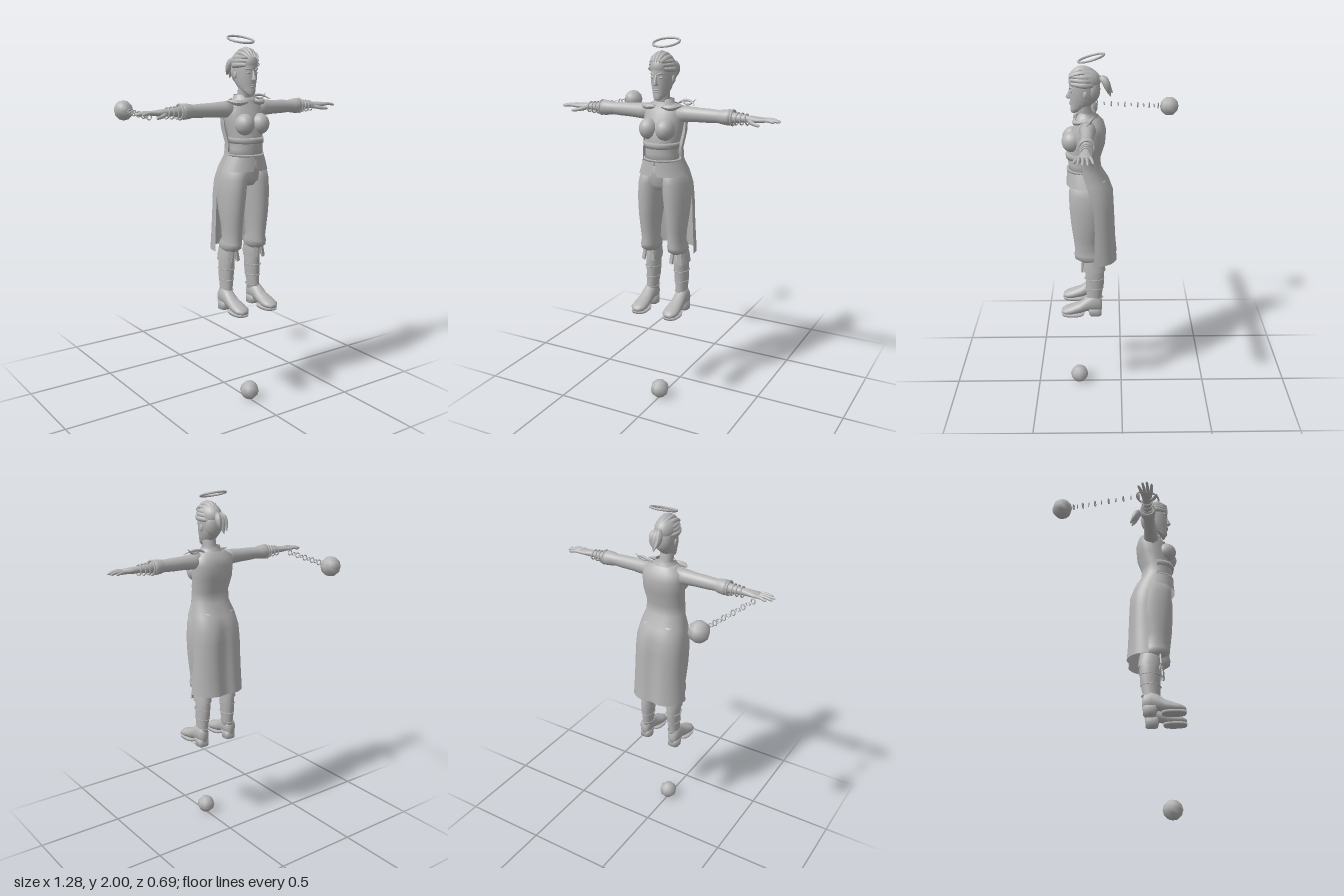
import * as THREE from 'three';

const grey = new THREE.MeshStandardMaterial({ color: 0xb4b4b4, side: THREE.DoubleSide });
grey.name = 'grey';

function add(parent, name, geo, x = 0, y = 0, z = 0) {
  const m = new THREE.Mesh(geo, grey);
  m.name = name;
  m.position.set(x, y, z);
  parent.add(m);
  return m;
}

// Skin through rings; each section is [y, half width, front z, back z, centre x]
// gap(i) leaves an opening, centred on the front, of that half angle
function loft(sections, { n = 24, gap = null, power = 1, caps = true, warp = null } = {}) {
  const pos = [], idx = [], cols = gap ? n + 1 : n;
  sections.forEach(([y, rx, zf, zb, cx = 0], i) => {
    const g = gap ? gap(i) : 0;
    for (let j = 0; j < cols; j++) {
      const t = g + (j / n) * (Math.PI * 2 - 2 * g);
      const s = Math.sin(t), c = Math.cos(t);
      const v = new THREE.Vector3(
        cx + rx * Math.sign(s) * Math.abs(s) ** power, y,
        (zf + zb) / 2 + ((zf - zb) / 2) * Math.sign(c) * Math.abs(c) ** power);
      if (warp) warp(v);
      pos.push(v.x, v.y, v.z);
    }
  });
  for (let i = 0; i < sections.length - 1; i++) for (let j = 0; j < n; j++) {
    const a = i * cols + j, b = i * cols + (j + 1) % cols;
    idx.push(a, b, a + cols, b, b + cols, a + cols);
  }
  if (!gap && caps) [0, sections.length - 1].forEach((row, k) => {
    const [y, , zf, zb, cx = 0] = sections[row], mid = pos.length / 3;
    pos.push(cx, y, (zf + zb) / 2);
    for (let j = 0; j < n; j++) {
      const a = row * n + j, b = row * n + (j + 1) % n;
      idx.push(mid, ...(k ? [a, b] : [b, a]));
    }
  });
  const geo = new THREE.BufferGeometry();
  geo.setAttribute('position', new THREE.Float32BufferAttribute(pos, 3));
  geo.setIndex(idx);
  geo.computeVertexNormals();
  return geo;
}

// Tube along a curve whose radius follows a rule
function taper(points, radius, seg = 10, sides = 8) {
  const curve = new THREE.CatmullRomCurve3(points.map(p => new THREE.Vector3(...p)));
  const geo = new THREE.TubeGeometry(curve, seg, 1, sides), p = geo.attributes.position, v = new THREE.Vector3();
  for (let i = 0; i < p.count; i++) {
    const t = Math.floor(i / (sides + 1)) / seg, c = curve.getPointAt(t);
    v.fromBufferAttribute(p, i).sub(c).multiplyScalar(radius(t)).add(c);
    p.setXYZ(i, v.x, v.y, v.z);
  }
  geo.computeVertexNormals();
  return geo;
}
const ball = (rx, ry, rz, n = 16) => new THREE.SphereGeometry(1, n, n * 0.75).scale(rx, ry, rz);
const finger = r => t => r * (t > 0.95 ? 0.25 : 1 - 0.35 * t);
const leaf = r => t => r * Math.sin(Math.PI * (0.15 + 0.84 * t)) + 0.001;

function makeArm() {
  const arm = new THREE.Group();
  const along = s => loft(s).rotateZ(-Math.PI / 2).translate(0, 1.625, 0);
  add(arm, 'sleeve', along([[0.08, 0.045, 0.22, 0.125], [0.13, 0.042, 0.214, 0.135], [0.2, 0.037, 0.208, 0.14],
    [0.26, 0.036, 0.207, 0.14], [0.31, 0.033, 0.205, 0.143], [0.335, 0.038, 0.212, 0.135],
    [0.365, 0.041, 0.214, 0.13], [0.385, 0.036, 0.21, 0.134]]));
  add(arm, 'cuffEdge', new THREE.TorusGeometry(0.037, 0.006, 6, 24).rotateY(Math.PI / 2), 0.386, 1.625, 0.172);
  add(arm, 'forearm', along([[0.37, 0.028, 0.2, 0.145], [0.42, 0.023, 0.196, 0.15], [0.46, 0.018, 0.194, 0.154],
    [0.49, 0.018, 0.202, 0.15], [0.53, 0.014, 0.208, 0.144], [0.555, 0.011, 0.206, 0.146]]));
  [0.41, 0.435, 0.462].forEach((x, i) => {
    const b = add(arm, 'bracelet', new THREE.TorusGeometry(0.031 - i * 0.002, 0.004, 6, 20).rotateY(Math.PI / 2), x, 1.622, 0.174);
    b.rotation.z = 0.15 * (i - 1);
  });
  [[0.152, 0.61, 0.136], [0.168, 0.634, 0.16], [0.184, 0.638, 0.184], [0.2, 0.618, 0.208]].forEach(([z0, x, z1]) =>
    add(arm, 'finger', taper([[0.535, 1.625, z0], [(x + 0.535) / 2, 1.628, (z0 + z1) / 2], [x, 1.621, z1]], finger(0.0095))));
  add(arm, 'thumb', taper([[0.48, 1.618, 0.19], [0.51, 1.61, 0.215], [0.55, 1.604, 0.23]], finger(0.012)));
  return arm;
}

function makeLeg() {
  const leg = new THREE.Group();
  add(leg, 'trouserLeg', loft([[0.865, 0.036, 0.225, 0.11, 0.082], [0.885, 0.05, 0.258, 0.1, 0.082],
    [0.91, 0.051, 0.262, 0.105, 0.081], [0.935, 0.046, 0.257, 0.125, 0.079], [1, 0.051, 0.264, 0.122, 0.08],
    [1.08, 0.059, 0.274, 0.1, 0.08], [1.18, 0.068, 0.282, 0.075, 0.076], [1.26, 0.068, 0.284, 0.065, 0.07],
    [1.34, 0.06, 0.275, 0.085, 0.058]]));
  add(leg, 'boot', loft([[0.6, 0.031, 0.202, 0.113, 0.094], [0.65, 0.031, 0.198, 0.113, 0.091],
    [0.72, 0.037, 0.2, 0.1, 0.088], [0.79, 0.039, 0.204, 0.097, 0.086], [0.88, 0.036, 0.205, 0.105, 0.084]]));
  add(leg, 'bootCuff', loft([[0.808, 0.046, 0.216, 0.09, 0.087], [0.84, 0.046, 0.217, 0.092, 0.085],
    [0.88, 0.041, 0.214, 0.1, 0.083]], { gap: i => 0.45 - i * 0.2 }));
  [-1, 1].forEach(s => {
    const tab = add(leg, 'cuffTab', new THREE.BoxGeometry(0.022, 0.07, 0.008), 0.085 + s * 0.023, 0.845, 0.218);
    tab.rotation.set(-0.12, s * 0.35, s * 0.15);
  });
  // Foot sections run from heel to toe
  add(leg, 'foot', loft([[0.112, 0.018, -0.56, -0.62], [0.125, 0.032, -0.55, -0.65], [0.16, 0.036, -0.553, -0.665],
    [0.2, 0.036, -0.553, -0.64], [0.235, 0.038, -0.543, -0.613], [0.285, 0.044, -0.537, -0.593],
    [0.32, 0.04, -0.537, -0.58], [0.342, 0.02, -0.542, -0.566]]).rotateX(Math.PI / 2), 0.097);
  add(leg, 'heel', loft([[0.53, 0.034, 0.183, 0.115, 0.097], [0.575, 0.036, 0.195, 0.113, 0.097]], { power: 0.7 }));
  add(leg, 'sole', loft([[0.531, 0.043, 0.342, 0.215, 0.097], [0.545, 0.045, 0.346, 0.21, 0.097]], { power: 0.8 }));
  [0.64, 0.7, 0.76].forEach(y => {
    const strap = add(leg, 'bootStrap', new THREE.TorusGeometry(0.037, 0.003, 5, 20).rotateX(Math.PI / 2), 0.089, y, 0.153);
    strap.scale.set(0.86 + (y - 0.64) * 1.7, 1, 1.24 + (y - 0.64) * 1.5);
  });
  return leg;
}

function makeHead() {
  const head = new THREE.Group();
  add(head, 'neck', taper([[0, 1.63, 0.175], [0, 1.69, 0.19], [0, 1.75, 0.2]], () => 0.038, 8, 18));
  add(head, 'face', loft([[1.697, 0.014, 0.262, 0.235], [1.707, 0.025, 0.267, 0.215], [1.725, 0.037, 0.266, 0.17],
    [1.75, 0.046, 0.265, 0.14], [1.78, 0.053, 0.269, 0.125], [1.815, 0.056, 0.267, 0.118],
    [1.85, 0.057, 0.27, 0.115], [1.885, 0.05, 0.262, 0.12], [1.915, 0.03, 0.235, 0.14]]));
  add(head, 'nose', loft([[1.772, 0.011, 0.283, 0.25], [1.78, 0.012, 0.29, 0.25], [1.8, 0.007, 0.279, 0.25],
    [1.825, 0.006, 0.27, 0.25]], { n: 10 }));
  add(head, 'upperLip', ball(0.017, 0.004, 0.007, 10), 0, 1.75, 0.266);
  add(head, 'lowerLip', ball(0.014, 0.005, 0.007, 10), 0, 1.742, 0.265);
  [-1, 1].forEach(s => {
    add(head, 'eye', ball(0.012, 0.006, 0.006, 10), s * 0.023, 1.812, 0.259);
    add(head, 'brow', taper([[s * 0.009, 1.825, 0.268], [s * 0.026, 1.833, 0.262], [s * 0.042, 1.827, 0.244]], leaf(0.004)));
    add(head, 'ear', ball(0.007, 0.02, 0.013, 10), s * 0.058, 1.8, 0.185);
    // Hair swept back over the sides
    [1.845, 1.865, 1.882].forEach((y, i) => add(head, 'sideLock',
      taper([[s * (0.04 - i * 0.005), y + 0.008, 0.257], [s * (0.06 - i * 0.007), y + 0.005, 0.19], [s * 0.014, y - 0.005, 0.11]], leaf(0.014))));
  });
  add(head, 'hairCap', new THREE.SphereGeometry(1, 24, 12, 0, Math.PI * 2, 0, Math.PI * 0.56)
    .scale(0.06, 0.07, 0.084), 0, 1.862, 0.189);
  add(head, 'hairBack', ball(0.052, 0.07, 0.04), 0, 1.82, 0.148);
  for (let i = -2; i <= 2; i++) add(head, 'topLock',
    taper([[i * 0.014, 1.888, 0.268], [i * 0.018, 1.928 - i * i * 0.005, 0.215], [i * 0.013, 1.915 - i * i * 0.004, 0.15], [0, 1.875, 0.11]], leaf(0.013)));
  add(head, 'hairTie', new THREE.TorusGeometry(0.013, 0.006, 6, 14), 0, 1.872, 0.11);
  [-1, 0, 1].forEach(s => add(head, 'ponytail',
    taper([[0, 1.872, 0.115], [s * 0.013, 1.87, 0.09], [s * 0.018, 1.83, 0.07], [s * 0.01, 1.78 + Math.abs(s) * 0.015, 0.055 + s * 0.012]], leaf(0.019))));
  return head;
}

export function createModel() {
  const model = new THREE.Group();
  model.name = 'figure';
  const head = makeHead();
  head.name = 'head';
  model.add(head);

  [1, -1].forEach(s => {
    const side = s > 0 ? 'left' : 'right';
    [['Arm', makeArm()], ['Leg', makeLeg()]].forEach(([n, g]) => {
      g.name = side + n;
      g.scale.x = s;
      model.add(g);
    });
    add(model, side + 'Bust', ball(0.05, 0.056, 0.056), s * 0.048, 1.55, 0.26);
    add(model, side + 'Lapel', taper([[s * 0.02, 1.665, 0.245], [s * 0.07, 1.66, 0.24], [s * 0.122, 1.672, 0.2]], leaf(0.014)));
  });

  // Body and clothes
  add(model, 'torso', loft([[1.36, 0.098, 0.285, 0.12], [1.42, 0.089, 0.286, 0.128], [1.46, 0.09, 0.289, 0.12],
    [1.53, 0.103, 0.284, 0.1], [1.6, 0.112, 0.264, 0.09], [1.645, 0.11, 0.242, 0.102], [1.668, 0.082, 0.232, 0.12],
    [1.685, 0.045, 0.228, 0.15]]));
  add(model, 'corsetBand', loft([[1.45, 0.093, 0.297, 0.12], [1.468, 0.094, 0.3, 0.115], [1.48, 0.095, 0.297, 0.112]]));
  add(model, 'pelvis', loft([[1.225, 0.06, 0.25, 0.09], [1.255, 0.11, 0.275, 0.07], [1.31, 0.12, 0.28, 0.07], [1.38, 0.098, 0.285, 0.11]]));
  add(model, 'peplum', loft([[1.305, 0.137, 0.3, 0.065], [1.345, 0.121, 0.296, 0.085], [1.385, 0.102, 0.293, 0.11]],
    { gap: i => [0.13, 0.04, 0.005][i], n: 36 }));
  add(model, 'belt', loft([[1.382, 0.103, 0.295, 0.11], [1.392, 0.102, 0.296, 0.112]]));
  add(model, 'collar', loft([[1.662, 0.075, 0.25, 0.118], [1.685, 0.056, 0.236, 0.13], [1.7, 0.054, 0.22, 0.135]], { gap: () => 0.5 }));
  // Open long coat with a crease down the back
  const coat = [[0.865, 0.162, 0.29, 0.018], [0.96, 0.156, 0.27, 0.026], [1.07, 0.15, 0.26, 0.03], [1.17, 0.149, 0.265, 0.034],
    [1.25, 0.146, 0.285, 0.04], [1.32, 0.135, 0.3, 0.066], [1.39, 0.116, 0.305, 0.108], [1.45, 0.113, 0.3, 0.113],
    [1.53, 0.122, 0.28, 0.086], [1.6, 0.124, 0.27, 0.08], [1.645, 0.119, 0.25, 0.092], [1.675, 0.075, 0.23, 0.118]];
  add(model, 'coat', loft(coat, {
    n: 40, power: 0.85, gap: () => Math.PI / 2,
    warp: v => { if (v.y < 1.3) v.z += 0.018 * Math.exp(-((v.x / 0.04) ** 2)) * Math.min(1, (1.3 - v.y) * 8); }
  }));
  add(model, 'shoulderRibbon', taper([[0.06, 1.672, 0.15], [0.1, 1.69, 0.145], [0.14, 1.69, 0.155], [0.18, 1.668, 0.18]], leaf(0.006)));
  add(model, 'shoulderKnot', taper([[0.09, 1.685, 0.15], [0.13, 1.672, 0.16], [0.17, 1.7, 0.15]], leaf(0.005)));

  // Halo, orbs and chain
  add(model, 'halo', new THREE.TorusGeometry(0.069, 0.006, 8, 36), 0, 1.98, 0.153).rotation.x = Math.PI / 2 + 0.27;
  add(model, 'lowerOrb', new THREE.SphereGeometry(0.053, 8, 6), 0, 0.053, 0.255);
  add(model, 'chainOrb', new THREE.SphereGeometry(0.055, 8, 6), -0.463, 1.605, -0.29);
  const a = new THREE.Vector3(-0.475, 1.605, -0.225), b = new THREE.Vector3(-0.54, 1.605, 0.135);
  const links = 11;
  for (let i = 0; i < links; i++) {
    const p = a.clone().lerp(b, (i / (links - 1)) ** 1.2);
    const link = add(model, 'chainLink', new THREE.TorusGeometry(0.012, 0.003, 6, 14), p.x, p.y, p.z);
    link.rotation.set(0, i % 2 ? 0.15 : -0.2, 0);
    link.scale.y = i % 2 ? 0.7 : 1.15;
  }
  return model;
}
